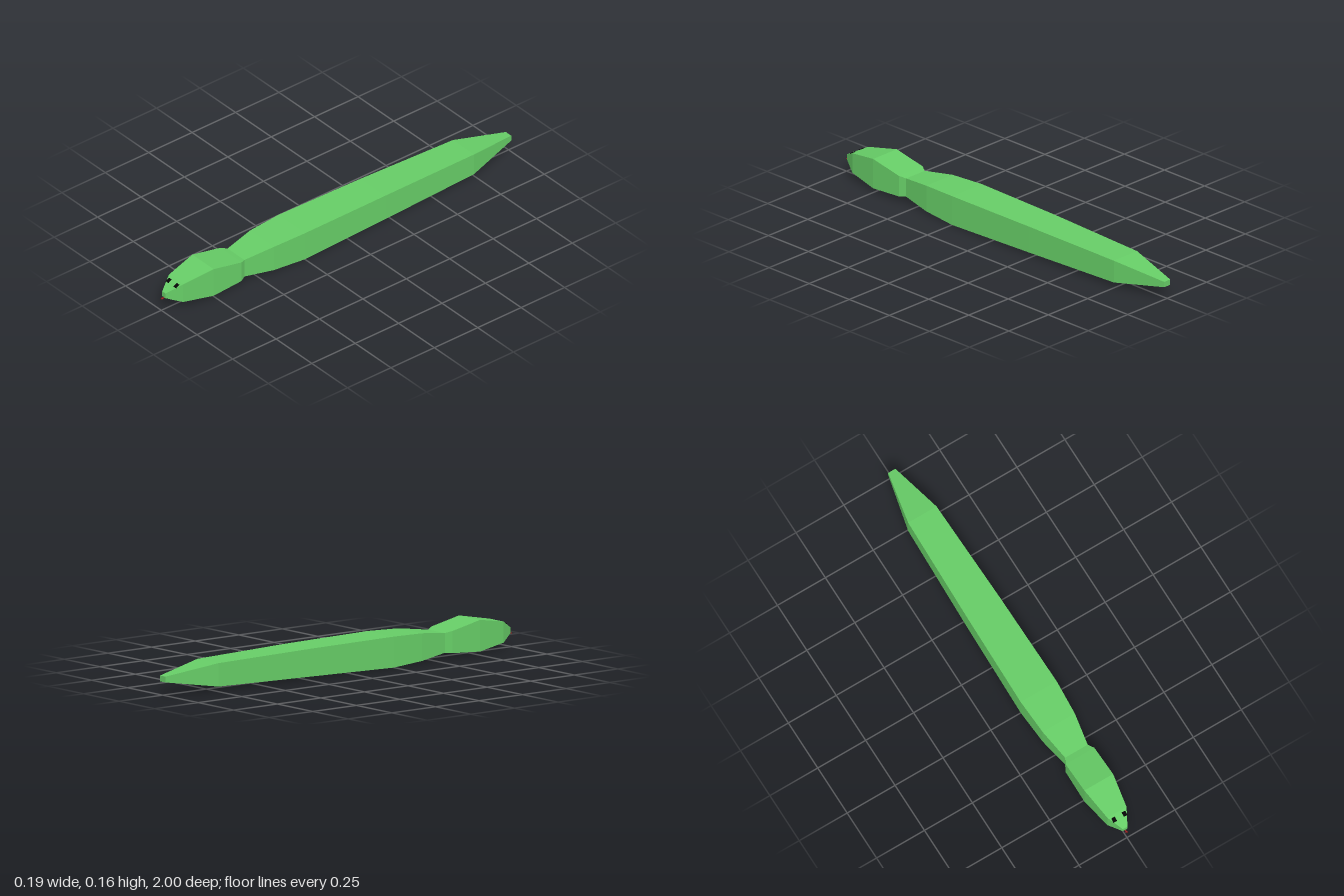
import * as THREE from 'three';

const green = new THREE.MeshStandardMaterial({ color: 0x66cc66, flatShading: true });
const black = new THREE.MeshStandardMaterial({ color: 0x050505 });
const red = new THREE.MeshStandardMaterial({ color: 0xaa2222 });

// Square-section loft along z; each section is [z, half width, bottom, top]
function loft(name, sections) {
  const rings = sections.map(([z, w, b, t]) => [[-w, b, z], [w, b, z], [w, t, z], [-w, t, z]]);
  const pos = [];
  const quad = (a, b, c, d) => pos.push(...a, ...b, ...c, ...a, ...c, ...d);
  for (let i = 0; i < rings.length - 1; i++) {
    const r = rings[i], n = rings[i + 1];
    for (let j = 0; j < 4; j++) {
      const k = (j + 1) % 4;
      quad(r[j], r[k], n[k], n[j]);
    }
  }
  const first = rings[0], last = rings[rings.length - 1];
  quad(first[3], first[2], first[1], first[0]);
  quad(...last);
  const geo = new THREE.BufferGeometry();
  geo.setAttribute('position', new THREE.Float32BufferAttribute(pos, 3));
  geo.computeVertexNormals();
  const mesh = new THREE.Mesh(geo, green);
  mesh.name = name;
  return mesh;
}

function box(name, material, size, position, rx = 0, ry = 0) {
  const mesh = new THREE.Mesh(new THREE.BoxGeometry(...size), material);
  mesh.name = name;
  mesh.position.set(...position);
  mesh.rotation.set(rx, ry, 0);
  return mesh;
}

export function createModel() {
  const model = new THREE.Group();
  model.name = 'snake';

  // Long body from tail tip to neck, then head and snout
  model.add(loft('body', [
    [-1, 0.019, 0.06, 0.086],
    [-0.74, 0.074, 0.02, 0.126],
    [-0.22, 0.087, 0.01, 0.136],
    [0.25, 0.094, 0, 0.14],
    [0.42, 0.084, 0.01, 0.135],
    [0.57, 0.059, 0.027, 0.116],
  ]));
  model.add(loft('head', [
    [0.57, 0.059, 0.027, 0.116],
    [0.6, 0.075, 0.024, 0.124],
    [0.76, 0.075, 0.014, 0.157],
    [0.915, 0.05, 0.034, 0.129],
    [0.985, 0.012, 0.064, 0.09],
  ]));

  // Eyes lying on the sloping snout
  for (const side of [-1, 1]) {
    model.add(box(side > 0 ? 'leftEye' : 'rightEye', black,
      [0.018, 0.003, 0.022], [side * 0.027, 0.1185, 0.935], 0.51));
  }

  // Mouth slit and small forked tongue
  model.add(box('mouth', black, [0.034, 0.003, 0.004], [0, 0.06, 0.975]));
  model.add(box('tongue', red, [0.004, 0.003, 0.02], [0, 0.062, 0.982]));
  for (const side of [-1, 1]) {
    model.add(box(side > 0 ? 'leftTongueFork' : 'rightTongueFork', red,
      [0.003, 0.003, 0.01], [side * 0.002, 0.062, 0.995], 0, side * 0.45));
  }
  return model;
}
